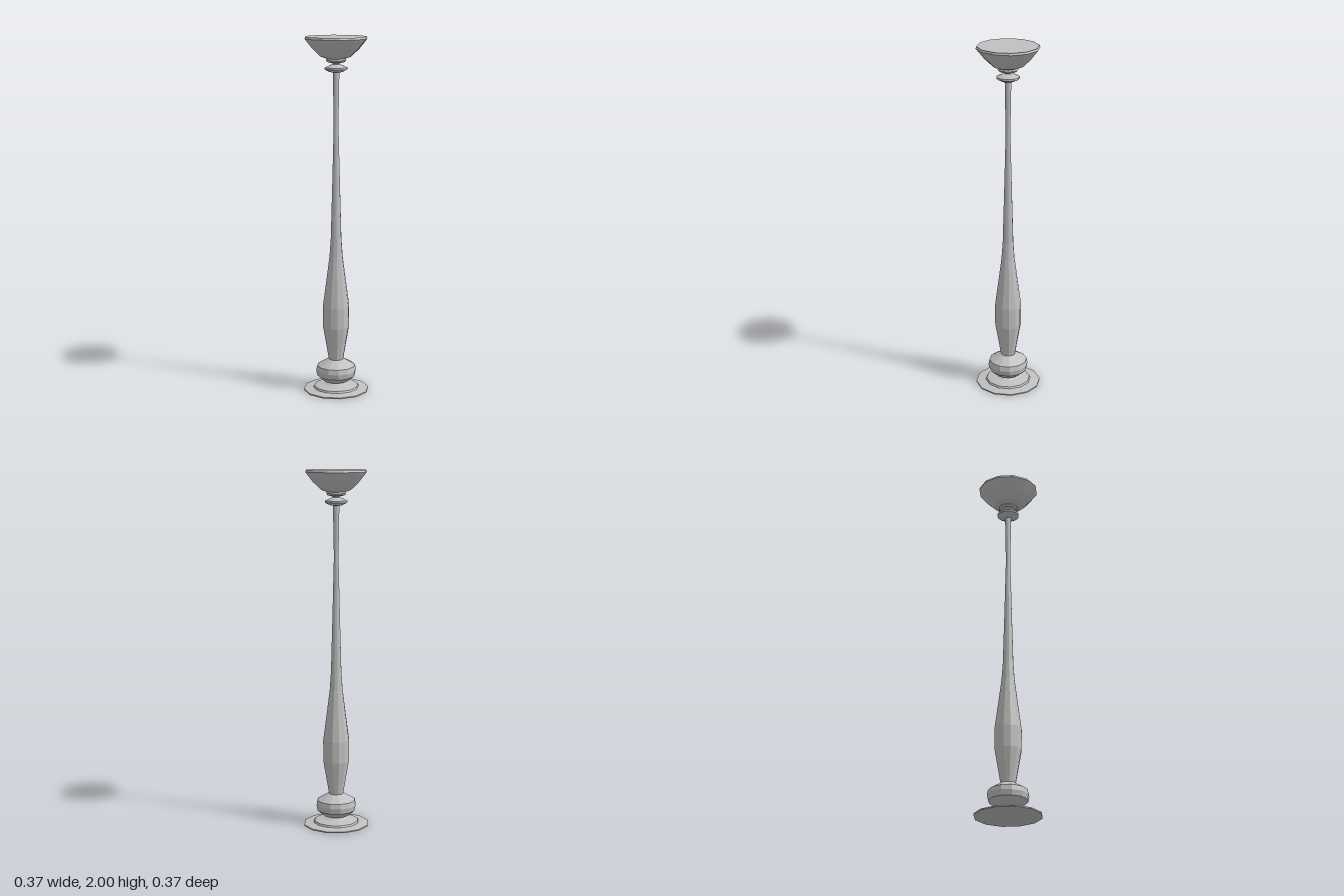
import * as THREE from 'three';

const SIDES = 12;

export function createModel() {
  const group = new THREE.Group();
  const grey = new THREE.MeshStandardMaterial({ color: 0xc0c0c0 });
  grey.name = 'grey';

  // Turned part from [radius, height] pairs, listed bottom to top, with flat facets
  function turned(name, profile) {
    const points = profile.map(([r, y]) => new THREE.Vector2(r, y));
    const geometry = new THREE.LatheGeometry(points, SIDES).toNonIndexed();
    geometry.computeVertexNormals();
    const mesh = new THREE.Mesh(geometry, grey);
    mesh.name = name;
    group.add(mesh);
  }

  // Wide foot plate with a stepped disc on top
  turned('footPlate', [
    [0, 0], [0.185, 0], [0.185, 0.007], [0.13, 0.014],
    [0.125, 0.024], [0.07, 0.035], [0.05, 0.046],
  ]);

  // Round knob above the foot
  turned('baseKnob', [
    [0.05, 0.046], [0.075, 0.055], [0.108, 0.085], [0.114, 0.115],
    [0.108, 0.143], [0.045, 0.18], [0, 0.18],
  ]);

  // Long baluster shaft, swelling low down and slender above
  turned('shaft', [
    [0.041, 0.178], [0.074, 0.37], [0.075, 0.49], [0.055, 0.64],
    [0.037, 0.78], [0.03, 0.88], [0.022, 1.17], [0.013, 1.52],
    [0.017, 1.75], [0.018, 1.81],
  ]);

  // Thin collar under the bowl
  turned('collar', [
    [0.015, 1.805], [0.035, 1.808], [0.063, 1.822], [0.063, 1.832],
    [0.035, 1.845], [0.02, 1.85], [0.02, 1.857],
  ]);

  // Flared bowl with a bevelled rim and a closed, slightly sunken top
  turned('bowl', [
    [0.02, 1.855], [0.048, 1.862], [0.056, 1.872], [0.052, 1.88],
    [0.085, 1.892], [0.13, 1.935], [0.164, 1.977], [0.172, 1.988],
    [0.168, 2], [0.162, 1.997], [0, 1.997],
  ]);

  return group;
}
